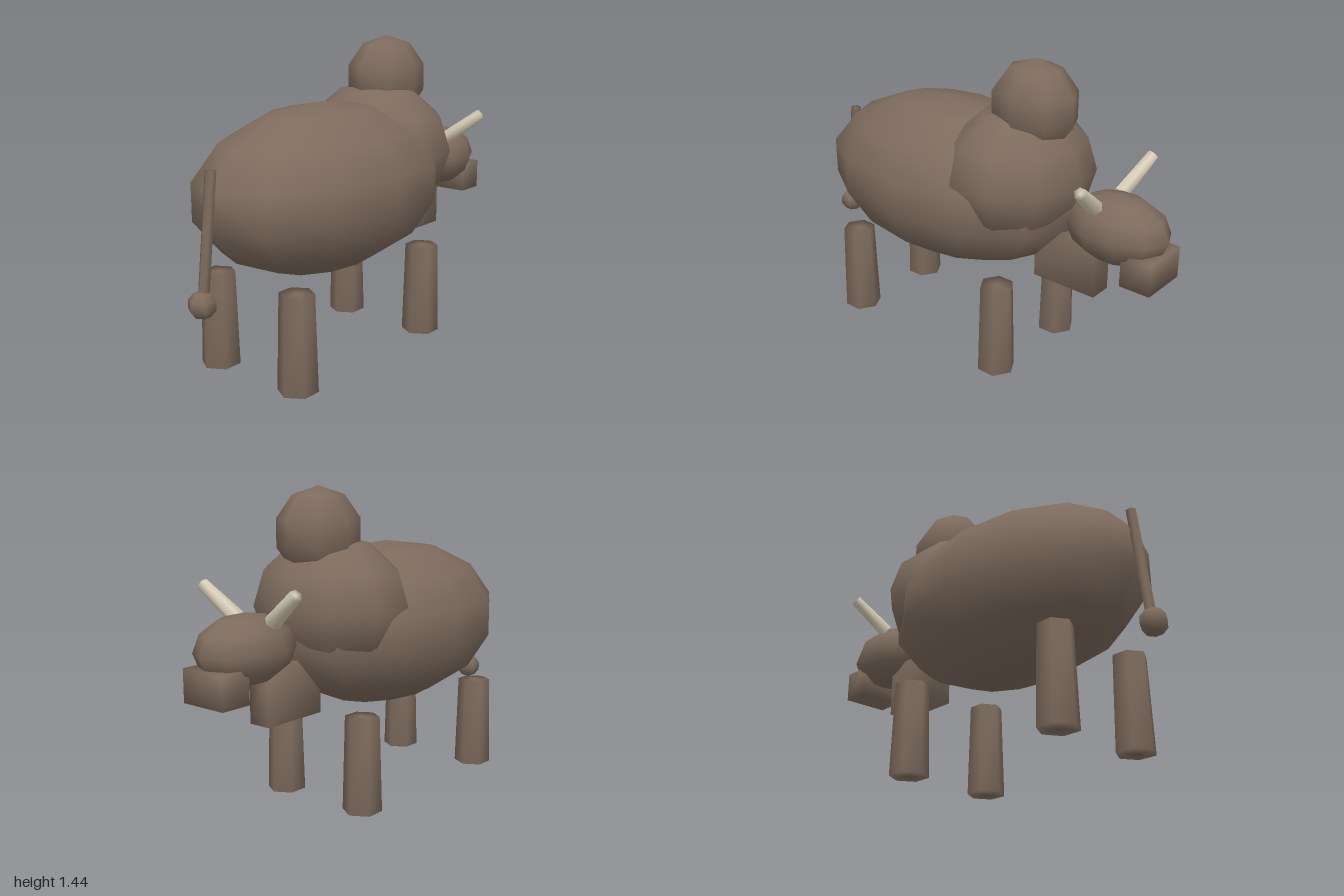
import * as THREE from 'three';
import { mergeVertices } from 'three/addons/utils/BufferGeometryUtils.js';

const hide = new THREE.MeshStandardMaterial({ color: 0x7d6b5d });
hide.name = 'brown hide';
const ivory = new THREE.MeshStandardMaterial({ color: 0xd8cfb8 });
ivory.name = 'ivory horn';

// Weld corners so every part is shaded smoothly, even across caps
function smooth(geo) {
  geo.deleteAttribute('normal');
  geo.deleteAttribute('uv');
  const welded = mergeVertices(geo, 1e-4);
  welded.computeVertexNormals();
  return welded;
}

export function createModel() {
  const group = new THREE.Group();

  function add(name, geo, material, x, y, z) {
    const mesh = new THREE.Mesh(smooth(geo), material);
    mesh.name = name;
    mesh.position.set(x, y, z);
    group.add(mesh);
    return mesh;
  }
  function ellipsoid(name, [x, y, z], [rx, ry, rz], around, high) {
    const geo = new THREE.SphereGeometry(1, around, high).scale(rx, ry, rz);
    return add(name, geo, hide, x, y, z);
  }
  // Tapered rod between two points
  function rod(name, from, to, r0, r1, material) {
    const a = new THREE.Vector3(...from), b = new THREE.Vector3(...to);
    const dir = b.clone().sub(a);
    const geo = new THREE.CylinderGeometry(r1, r0, dir.length(), 6).rotateY(Math.PI / 2);
    const mid = a.add(b).multiplyScalar(0.5);
    const mesh = add(name, geo, material, mid.x, mid.y, mid.z);
    mesh.quaternion.setFromUnitVectors(new THREE.Vector3(0, 1, 0), dir.normalize());
    return mesh;
  }

  // Trunk
  ellipsoid('body', [-0.18, 0.785, 0], [0.72, 0.385, 0.445], 12, 7);
  ellipsoid('shoulders', [0.215, 0.91, 0], [0.335, 0.315, 0.38], 10, 6);
  ellipsoid('hump', [0.295, 1.235, 0], [0.215, 0.205, 0.178], 8, 5);

  // Head, muzzle and beard
  ellipsoid('head', [0.75, 0.785, 0], [0.245, 0.153, 0.172], 10, 6);
  add('muzzle', new THREE.BoxGeometry(0.145, 0.145, 0.23), hide, 0.915, 0.657, 0);
  add('beard', new THREE.BoxGeometry(0.325, 0.26, 0.11), hide, 0.518, 0.57, 0);

  // Horns and legs, mirrored front to back
  for (const s of [1, -1]) {
    rod('horn', [0.695, 0.895, 0.1 * s], [0.735, 1.03, 0.275 * s], 0.036, 0.028, ivory);
    for (const [name, x] of [['frontLeg', 0.28], ['hindLeg', -0.63]]) {
      rod(name, [x, 0, 0.235 * s], [x, 0.437, 0.235 * s], 0.09, 0.078, hide);
    }
  }

  // Tail with tuft
  rod('tail', [-0.935, 0.42, 0], [-0.87, 0.965, 0], 0.024, 0.024, hide);
  ellipsoid('tailTuft', [-0.94, 0.42, 0], [0.063, 0.06, 0.063], 6, 5);

  return group;
}
